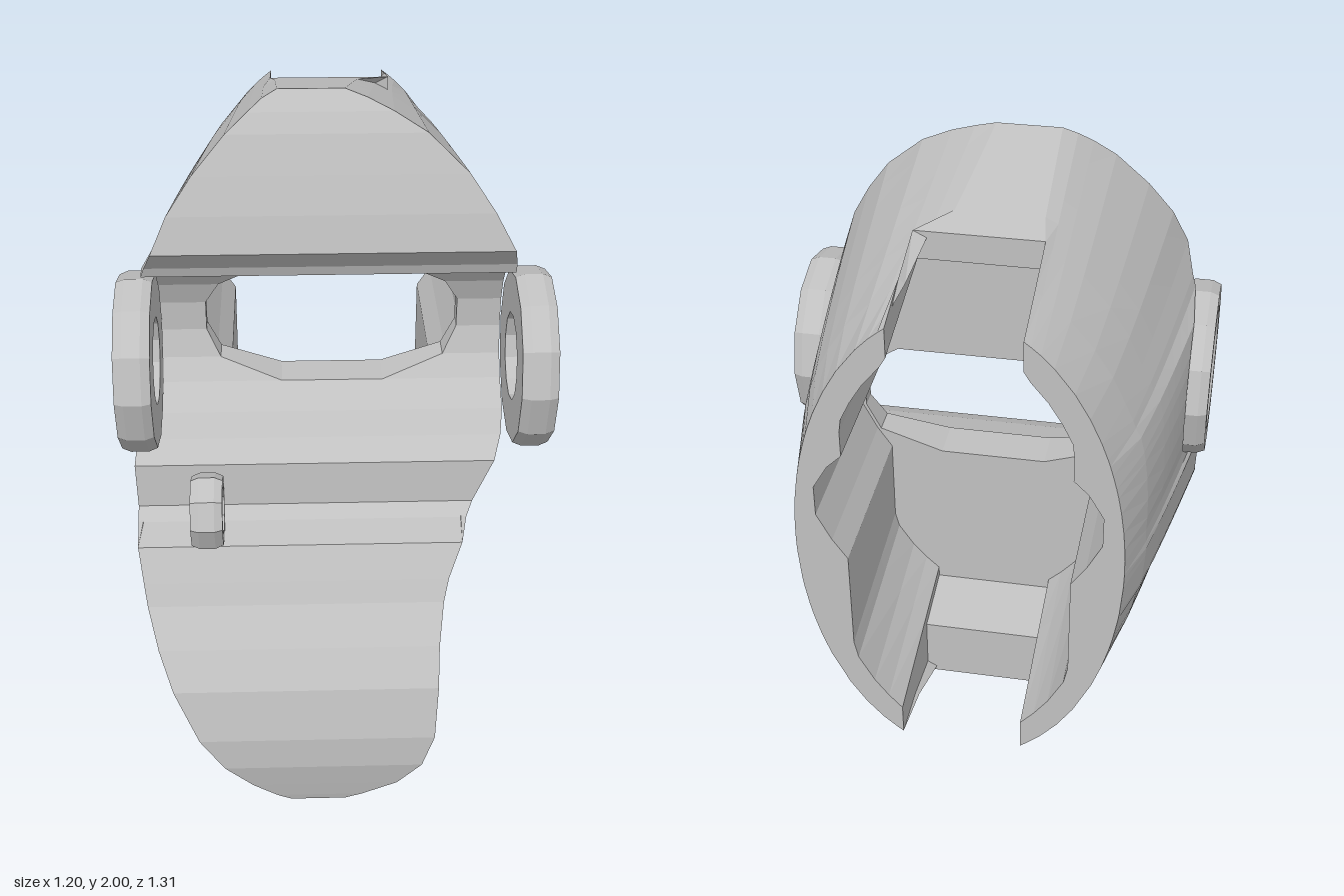
import * as THREE from 'three';

const BACK = -0.65, NOTCH = -0.32, DEEP = -0.13, MID_Y = 1.115, SLOT = 0.17;

// Front profile from top to bottom: y, z, left edge x, right edge x, half width of the window
const PROFILE = [
  [2.00, 0.10, -0.15, 0.03], [1.98, 0.115, -0.19, 0.09], [1.95, 0.14, -0.23, 0.16], [1.90, 0.17, -0.29, 0.25],
  [1.80, 0.21, -0.38, 0.36], [1.70, 0.245, -0.45, 0.43], [1.60, 0.27, -0.495, 0.485], [1.53, 0.20, -0.52, 0.50],
  [1.50, 0.19, -0.53, 0.50], [1.46, 0.05, -0.54, 0.50],
  [1.40, -0.02, -0.54, 0.50, 0.27], [1.36, -0.05, -0.54, 0.50, 0.33], [1.29, -0.075, -0.54, 0.50, 0.37],
  [1.20, -0.078, -0.54, 0.50, 0.37], [1.12, -0.053, -0.54, 0.50, 0.33], [1.06, -0.01, -0.54, 0.50, 0.15],
  [1.00, 0.07, -0.55, 0.50], [0.97, 0.17, -0.57, 0.485], [0.93, 0.25, -0.575, 0.46], [0.80, 0.26, -0.57, 0.40],
  [0.77, 0.30, -0.57, 0.38], [0.75, 0.40, -0.565, 0.36], [0.66, 0.45, -0.55, 0.32], [0.60, 0.48, -0.54, 0.305],
  [0.50, 0.555, -0.51, 0.29], [0.40, 0.62, -0.47, 0.285], [0.25, 0.657, -0.40, 0.275], [0.15, 0.66, -0.33, 0.24],
  [0.07, 0.645, -0.25, 0.17], [0.02, 0.635, -0.18, 0.07], [0.00, 0.63, -0.14, 0.02],
].map(([y, z, xl, xr, hole]) => ({ y, z, xl, xr, hole }));
const LAST = PROFILE.length - 1;
const isEnd = i => i === 0 || i === LAST;

// Collects quads between polylines into one faceted geometry
class Surface {
  constructor() { this.p = []; }
  strip(a, b, closed = false) {
    const n = closed ? a.length : a.length - 1;
    for (let i = 0; i < n; i++) {
      const j = (i + 1) % a.length;
      for (const v of [a[i], a[j], b[j], a[i], b[j], b[i]]) this.p.push(...v);
    }
    return this;
  }
  mesh(name, material) {
    const g = new THREE.BufferGeometry();
    g.setAttribute('position', new THREE.Float32BufferAttribute(this.p, 3));
    g.computeVertexNormals();
    const m = new THREE.Mesh(g, material);
    m.name = name;
    return m;
  }
}

// Outer skin point at depth z on the line from the front edge to the rear rim
function skin(i, side, z) {
  const f = PROFILE[i];
  const c = (f.y - 1) * 0.923;
  const rearX = side * (isEnd(i) ? SLOT : 0.44 * Math.sqrt(1 - c * c));
  const u = (z - BACK) / (f.z - BACK);
  let x = THREE.MathUtils.lerp(rearX, side < 0 ? f.xl : f.xr, Math.pow(u, 0.7));
  if (isEnd(i) && z <= NOTCH + 1e-4) x = side * SLOT;
  return [x, THREE.MathUtils.lerp(MID_Y + 0.74 * c, f.y, Math.pow(u, 1.2 - 0.2 * (f.y - 1))), z];
}

// Cavity wall: flat side panels, a wider groove level with the window, rising towards the front
function inner(i, side, z) {
  const f = PROFILE[i];
  const t = (z - BACK) / (DEEP - BACK);
  if (f.hole) return [side * Math.max(0.3, f.hole + 0.01), f.y, z];
  const [base, near, far] = f.y > 1.4 ? [1.4, 0.57, 0.74] : [1.06, 0.54, 0.45];
  const rearY = base + (f.y - base) * near;
  const round = 0.37 * Math.sqrt(Math.max(0, 1 - ((rearY - MID_Y) / 0.66) ** 2));
  const x = isEnd(i) ? SLOT : THREE.MathUtils.clamp(round, SLOT, 0.3);
  return [side * x, base + (f.y - base) * THREE.MathUtils.lerp(near, far, t), z];
}

// Loop that runs down the -x side and up the +x side
function loop(fn) {
  const idx = PROFILE.map((_, i) => i);
  return [...idx.map(i => fn(i, -1)), ...idx.reverse().map(i => fn(i, 1))];
}
const halves = l => [l.slice(0, LAST + 1), l.slice(LAST + 1)];

// Ring with its axis along x and a bore that flares towards its outer side
function ring(name, side, x, y, z, outer, bore, flare, width, sides, material) {
  const h = width / 2;
  const section = [[bore, -h], [outer - 0.01, -h], [outer, -h / 2], [outer, h / 2], [outer - 0.01, h], [flare, h],
    [bore, 0], [bore, -h]].map(p => new THREE.Vector2(...p));
  const g = new THREE.LatheGeometry(section, sides).toNonIndexed();
  g.computeVertexNormals();
  g.rotateZ(-side * Math.PI / 2);
  const m = new THREE.Mesh(g, material);
  m.position.set(x, y, z);
  m.name = name;
  return m;
}

export function createModel() {
  const group = new THREE.Group();
  group.name = 'bracket';
  const grey = new THREE.MeshStandardMaterial({ color: 0xc0c0c0, side: THREE.DoubleSide });
  grey.name = 'plain grey';

  // Outer skin: closed in front of the notch, slotted behind it
  const shell = new Surface();
  const steps = 5;
  const rings = Array.from({ length: steps + 1 }, (_, k) =>
    loop((i, s) => skin(i, s, THREE.MathUtils.lerp(PROFILE[i].z, NOTCH, k / steps))));
  for (let k = 0; k < steps; k++) shell.strip(rings[k + 1], rings[k], true);
  const outNotch = rings[steps];
  const outMid = loop((i, s) => skin(i, s, (NOTCH + BACK) / 2));
  const outBack = loop((i, s) => skin(i, s, BACK));
  const [inDeep, inNotch, inBack] = [DEEP, NOTCH, BACK].map(z => loop((i, s) => inner(i, s, z)));
  const [of, om, ob, nf, nb] = [outNotch, outMid, outBack, inNotch, inBack].map(halves);
  for (const s of [0, 1]) shell.strip(om[s], of[s]).strip(ob[s], om[s]);
  group.add(shell.mesh('outerShell', grey));

  // Front face ruled across x, leaving the window open
  const face = new Surface();
  for (let i = 0; i < LAST; i++) {
    const pair = [PROFILE[i], PROFILE[i + 1]];
    const edge = f => pair.map(p => [f(p), p.y, p.z]);
    if (pair[0].hole && pair[1].hole) {
      face.strip(edge(p => p.xl), edge(p => -p.hole));
      face.strip(edge(p => p.hole), edge(p => p.xr));
    } else face.strip(edge(p => p.xl), edge(p => p.xr));
  }
  group.add(face.mesh('frontFace', grey));

  // Window passage
  const win = PROFILE.filter(p => p.hole);
  const winLoop = z => [...win.map(p => [-p.hole, p.y, z ?? p.z]),
    ...[...win].reverse().map(p => [p.hole, p.y, z ?? p.z])];
  group.add(new Surface().strip(winLoop(), winLoop(DEEP), true).mesh('windowPassage', grey));

  // Cavity walls and rear rim
  const cavity = new Surface().strip(inDeep, inNotch, true);
  const rim = new Surface();
  for (const s of [0, 1]) {
    cavity.strip(nf[s], nb[s]);
    rim.strip(nb[s], ob[s]);
  }
  group.add(cavity.mesh('cavityWalls', grey), rim.mesh('rearRim', grey));

  // Slot cheeks and slot ends at top and bottom
  const slot = new Surface();
  const T = LAST * 2 + 1; // last loop index: top of the +x side
  const wall = (i, top) => [[outNotch, inNotch], [outMid, null], [outBack, inBack]]
    .filter(([, n]) => n).map(([o, n]) => top ? [o[i], n[i]] : [n[i], o[i]]);
  for (const [l, r, top] of [[0, T, true], [LAST, LAST + 1, false]]) {
    const a = wall(l, top), b = wall(r, top);
    slot.strip(a[0], a[1]).strip(b[1], b[0]).strip(b[0], a[0]);
  }
  group.add(slot.mesh('slotWalls', grey));

  // Cavity floor with the window cut out
  const flat = l => l.map(([x, y]) => new THREE.Vector2(-x, y));
  const floorShape = new THREE.Shape(flat(inDeep));
  floorShape.holes.push(new THREE.Path(flat(winLoop(DEEP))));
  const floor = new THREE.Mesh(new THREE.ShapeGeometry(floorShape), grey);
  floor.rotation.y = Math.PI;
  floor.position.z = DEEP;
  floor.name = 'cavityFloor';
  group.add(floor);

  // Pivot rings on both sides and the small guide ring
  for (const s of [-1, 1])
    group.add(ring(s < 0 ? 'rightPivotRing' : 'leftPivotRing', s, s * 0.55, 1.235, 0.18, 0.255, 0.125, 0.185, 0.1, 12, grey));
  group.add(ring('guideRing', -1, -0.365, 0.85, 0.365, 0.11, 0.07, 0.085, 0.09, 8, grey));
  return group;
}
